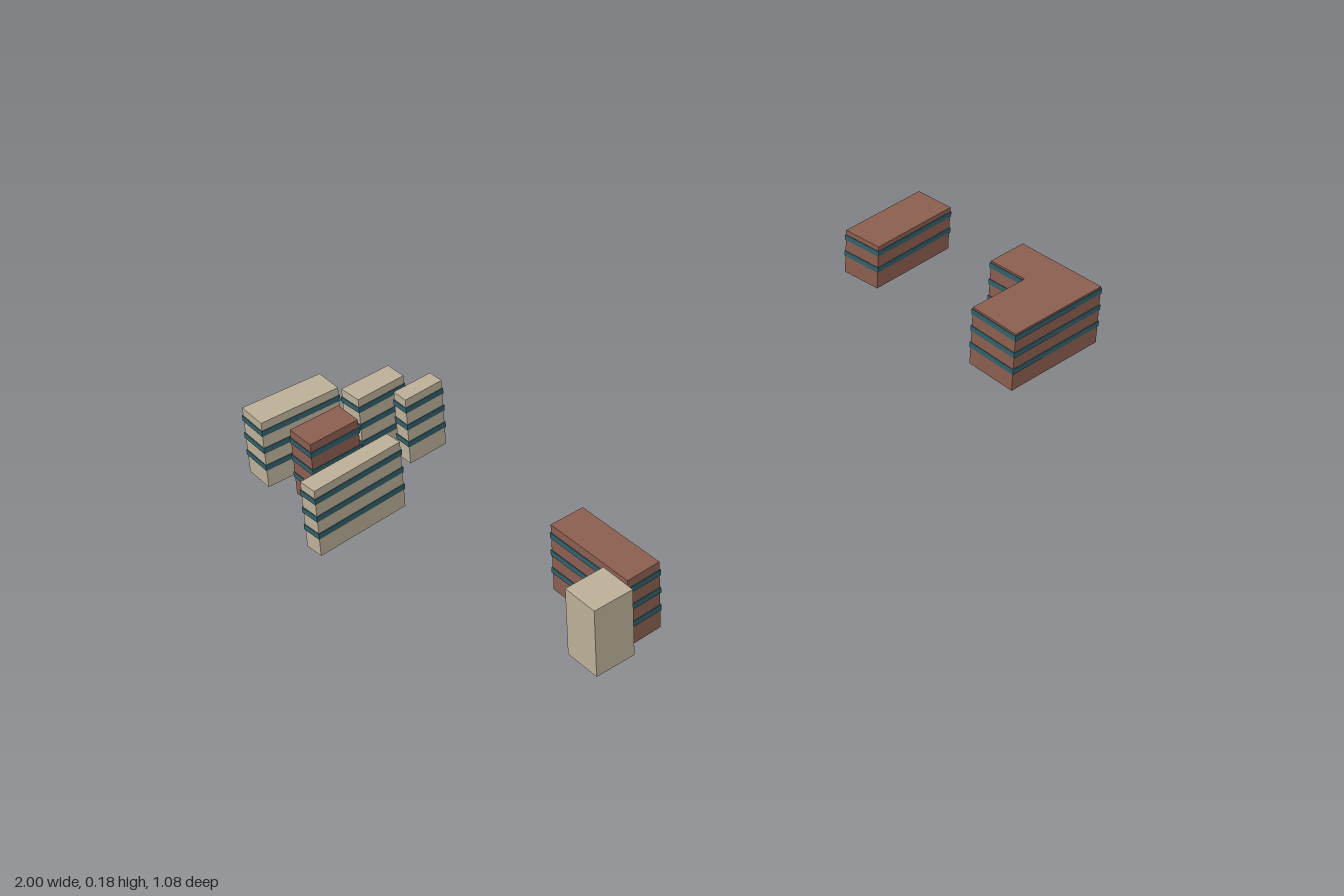
import * as THREE from 'three';

const BRICK = new THREE.MeshStandardMaterial({ color: 0x8c5f50, flatShading: true });
const STONE = new THREE.MeshStandardMaterial({ color: 0xbdb199, flatShading: true });
const GLASS = new THREE.MeshStandardMaterial({ color: 0x33606c, flatShading: true });

const FLOOR = 0.049;     // spacing of the window bands
const BAND = 0.015;      // band height
const OVERHANG = 0.002;  // how far a band stands proud of the wall

// Footprints as [x, z] corners, clockwise seen from above
const BUILDINGS = [
  { name: 'backStoneSlab', mat: STONE, height: 0.184, bands: 3,
    plan: [[-0.991, -0.511], [-0.783, -0.537], [-0.771, -0.464], [-0.98, -0.433]] },
  { name: 'middleStoneBlock', mat: STONE, height: 0.184, bands: 3,
    plan: [[-0.767, -0.455], [-0.633, -0.481], [-0.622, -0.425], [-0.753, -0.396]] },
  { name: 'smallStoneBlock', mat: STONE, height: 0.184, bands: 3,
    plan: [[-0.67, -0.38], [-0.564, -0.402], [-0.556, -0.361], [-0.662, -0.337]] },
  { name: 'smallBrickBlock', mat: BRICK, height: 0.184, bands: 3,
    plan: [[-0.935, -0.376], [-0.801, -0.401], [-0.788, -0.328], [-0.921, -0.3]] },
  { name: 'longStoneSlab', mat: STONE, height: 0.184, bands: 3,
    plan: [[-0.998, -0.19], [-0.756, -0.246], [-0.745, -0.202], [-0.987, -0.142]] },
  { name: 'frontBrickSlab', mat: BRICK, height: 0.184, bands: 3,
    plan: [[-0.604, 0.238], [-0.515, 0.223], [-0.47, 0.472], [-0.56, 0.49]] },
  { name: 'plainStoneTower', mat: STONE, height: 0.184, bands: 0,
    plan: [[-0.684, 0.441], [-0.58, 0.423], [-0.565, 0.52], [-0.669, 0.537]] },
  { name: 'cornerBrickBuilding', mat: BRICK, height: 0.167, bands: 3,
    plan: [[0.68, 0.039], [0.859, 0.009], [0.838, -0.1], [0.951, -0.12], [0.997, 0.135], [0.698, 0.186]] },
  { name: 'lowBrickSlab', mat: BRICK, height: 0.126, bands: 2,
    plan: [[0.65, -0.458], [0.914, -0.51], [0.937, -0.403], [0.675, -0.35]] },
];

// Moves every edge of a footprint outwards by d
function grow(plan, d) {
  const n = plan.length;
  const normal = (a, b) => new THREE.Vector2(b[1] - a[1], a[0] - b[0]).normalize();
  return plan.map((p, i) => {
    const n1 = normal(plan[(i + n - 1) % n], p);
    const n2 = normal(p, plan[(i + 1) % n]);
    const k = d / (1 + n1.dot(n2));
    return [p[0] + (n1.x + n2.x) * k, p[1] + (n1.y + n2.y) * k];
  });
}

// Upright prism over a footprint
function prism(name, plan, base, height, material) {
  const shape = new THREE.Shape(plan.map(([x, z]) => new THREE.Vector2(x, -z)));
  const geo = new THREE.ExtrudeGeometry(shape, { depth: height, bevelEnabled: false });
  geo.rotateX(-Math.PI / 2).translate(0, base, 0);
  const mesh = new THREE.Mesh(geo, material);
  mesh.name = name;
  return mesh;
}

export function createModel() {
  const model = new THREE.Group();
  model.name = 'buildingCluster';
  for (const b of BUILDINGS) {
    const building = new THREE.Group();
    building.name = b.name;
    building.add(prism('walls', b.plan, 0, b.height, b.mat));
    // Window bands wrapped round each storey
    const outline = grow(b.plan, OVERHANG);
    for (let i = 1; i <= b.bands; i++) {
      building.add(prism('windowBand', outline, i * FLOOR, BAND, GLASS));
    }
    model.add(building);
  }
  return model;
}
